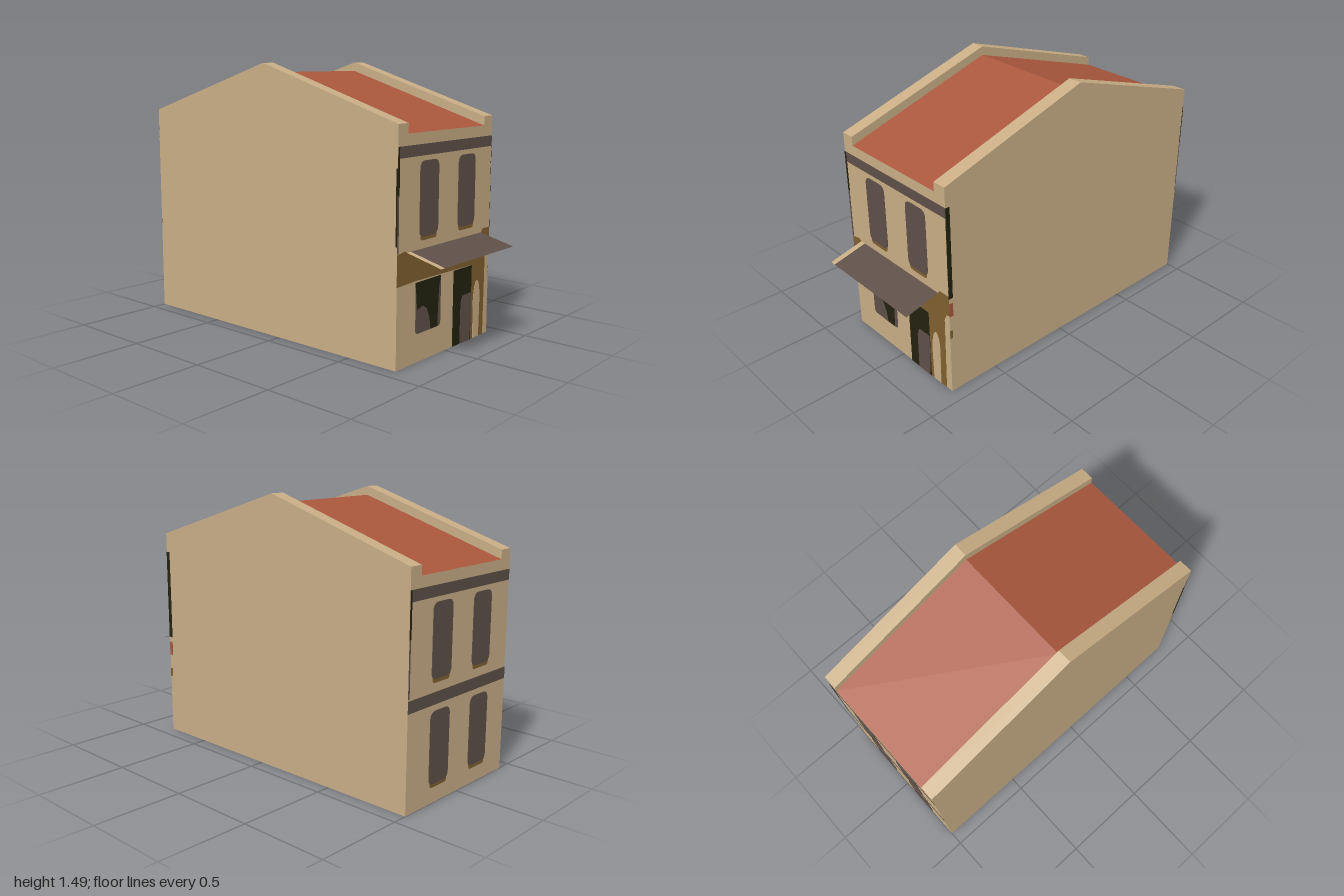
import * as THREE from 'three';

const W = 0.42, IN = 0.34, FRONT = 0.8, BACK = -1, RIDGE = -0.1;
const EAVE = 1.21, PEAK = 1.49, DROP = 0.05;

export function createModel() {
  const mat = (name, color) =>
    Object.assign(new THREE.MeshStandardMaterial({ color, side: THREE.DoubleSide }), { name });
  const stone = mat('sandstone', 0xc8ad85);
  const tile = mat('roofTile', 0xaa573d);
  const slate = mat('greyBrown', 0x5f5048);
  const ochre = mat('ochre', 0x80602f);
  const dark = mat('darkOpening', 0x22210f);

  const house = new THREE.Group();
  house.name = 'house';

  const add = (parent, name, geometry, material) => {
    const mesh = new THREE.Mesh(geometry, material);
    mesh.name = name;
    parent.add(mesh);
    return mesh;
  };

  const outline = (pts) => new THREE.Shape(pts.map(([x, y]) => new THREE.Vector2(x, y)));
  const rect = (x0, y0, x1, y1) => outline([[x0, y0], [x1, y0], [x1, y1], [x0, y1]]);
  const rounded = (x0, y0, x1, y1, r) => {
    const s = new THREE.Shape();
    s.moveTo(x0 + r, y0);
    s.lineTo(x1 - r, y0); s.quadraticCurveTo(x1, y0, x1, y0 + r);
    s.lineTo(x1, y1 - r); s.quadraticCurveTo(x1, y1, x1 - r, y1);
    s.lineTo(x0 + r, y1); s.quadraticCurveTo(x0, y1, x0, y1 - r);
    s.lineTo(x0, y0 + r); s.quadraticCurveTo(x0, y0, x0 + r, y0);
    return s;
  };

  // Thin plate centred on its wall, so it shows inside and outside
  const plate = (parent, name, shape, material, layer = 1) => {
    const depth = 0.003 * layer;
    const g = new THREE.ExtrudeGeometry(shape, { depth, bevelEnabled: false, curveSegments: 6 });
    g.translate(0, 0, -depth / 2);
    return add(parent, name, g, material);
  };

  // Flat sheets swept across x from a list of [y, z] points
  const sheet = (parent, name, x0, x1, path, material) => {
    const pos = [], index = [];
    path.slice(1).forEach(([y1, z1], i) => {
      const [y0, z0] = path[i], n = i * 4;
      pos.push(x0, y0, z0, x1, y0, z0, x1, y1, z1, x0, y1, z1);
      index.push(n, n + 1, n + 2, n, n + 2, n + 3);
    });
    const g = new THREE.BufferGeometry();
    g.setAttribute('position', new THREE.Float32BufferAttribute(pos, 3));
    g.setIndex(index);
    g.computeVertexNormals();
    return add(parent, name, g, material);
  };

  // Roof, set slightly below the parapets
  const slope = (drop) => [[EAVE - drop, FRONT], [PEAK - drop, RIDGE], [EAVE - drop, BACK]];
  sheet(house, 'roof', -IN, IN, slope(DROP), tile);

  // Gable walls with sloping copings and inner parapet faces (shape x = -z)
  const gable = [[-FRONT, 0], [-BACK, 0], [-BACK, EAVE], [-RIDGE, PEAK], [-FRONT, EAVE]];
  const upstand = [
    [-FRONT, EAVE - DROP], [-RIDGE, PEAK - DROP], [-BACK, EAVE - DROP],
    [-BACK, EAVE], [-RIDGE, PEAK], [-FRONT, EAVE],
  ];
  for (const s of [-1, 1]) {
    const side = s > 0 ? 'left' : 'right';
    const wall = add(house, side + 'GableWall', new THREE.ShapeGeometry(outline(gable)), stone);
    wall.rotation.y = Math.PI / 2;
    wall.position.x = s * W;
    const inner = add(house, side + 'ParapetInside', new THREE.ShapeGeometry(outline(upstand)), stone);
    inner.rotation.y = Math.PI / 2;
    inner.position.x = s * IN;
    sheet(house, side + 'Coping', s > 0 ? IN : -W, s > 0 ? W : -IN, slope(0), stone);
  }

  // Facade with cornice, upper windows and corner strip, used at both ends
  const wallShape = [
    [-W, 0], [W, 0], [W, EAVE], [IN, EAVE], [IN, EAVE - DROP],
    [-IN, EAVE - DROP], [-IN, EAVE], [-W, EAVE],
  ];
  const windowPair = (parent, dy) => {
    for (const x of [-0.24, 0.1]) {
      plate(parent, 'windowSill', rounded(x + 0.01, 0.622 + dy, x + 0.15, 0.68 + dy, 0.02), ochre);
      plate(parent, 'window', rounded(x, 0.64 + dy, x + 0.16, 1.02 + dy, 0.04), slate, 2);
    }
  };
  const facade = (name) => {
    const f = new THREE.Group();
    f.name = name;
    house.add(f);
    add(f, name + 'Wall', new THREE.ShapeGeometry(outline(wallShape)), stone);
    plate(f, 'cornice', rect(-W, 1.045, W, 1.102), slate);
    plate(f, 'cornerStripUpper', rect(-W, 0.87, -0.409, 1.102), dark, 2);
    plate(f, 'cornerStripLower', rect(-W, 0.585, -0.412, 0.87), slate, 2);
    windowPair(f, 0);
    return f;
  };

  // Back: a second row of windows and a floor band
  const back = facade('backFacade');
  back.position.z = BACK;
  back.rotation.y = Math.PI;
  windowPair(back, -0.54);
  plate(back, 'floorBand', rect(-W, 0.512, W, 0.575), slate);

  // Front: shop fascia running down beside the door
  const front = facade('frontFacade');
  front.position.z = FRONT;
  const fascia = outline([
    [-W, 0.42], [-0.27, 0.425], [0.24, 0.415], [0.25, 0.25], [0.24, 0],
    [0.375, 0], [0.38, 0.44], [0.395, 0.475], [W, 0.485], [W, 0.6],
    [0.35, 0.6], [0.33, 0.575], [-0.33, 0.575], [-0.36, 0.59], [-W, 0.58],
  ]);
  plate(front, 'shopFascia', fascia, ochre);
  const niche = new THREE.Shape();
  niche.moveTo(0.272, 0);
  niche.lineTo(0.33, 0);
  niche.lineTo(0.335, 0.22);
  niche.quadraticCurveTo(0.33, 0.32, 0.302, 0.32);
  niche.quadraticCurveTo(0.275, 0.31, 0.268, 0.2);
  plate(front, 'paleNiche', niche, stone, 2);

  // Shop window with a shaded upper part
  plate(front, 'shopWindow', rounded(-0.262, 0.148, -0.042, 0.415, 0.025), slate);
  plate(front, 'shopWindowShade', outline([
    [-0.265, 0.415], [-0.25, 0.275], [-0.2, 0.288], [-0.165, 0.265], [-0.14, 0.21],
    [-0.13, 0.15], [-0.07, 0.15], [-0.068, 0.25], [-0.06, 0.36], [-0.045, 0.415],
  ]), dark, 2);

  // Door
  plate(front, 'doorway', rect(0.075, 0, 0.248, 0.413), dark, 2);
  plate(front, 'doorPanel', outline([
    [0.142, 0], [0.238, 0], [0.248, 0.13], [0.248, 0.265], [0.16, 0.262], [0.144, 0.22],
  ]), slate, 3);

  // Awning: one sloping sheet with a pale end
  const fall = [[0.58, FRONT], [0.53, 1]];
  sheet(house, 'awning', -0.307, 0.335, fall, slate);
  sheet(house, 'awningPaleEnd', -0.34, -0.307, fall, stone);

  // Painted marks that wrap round the front corners
  const mark = (name, x, y0, y1, depth, material) => {
    const m = add(house, name, new THREE.BoxGeometry(0.004, y1 - y0, depth), material);
    m.position.set(x, (y0 + y1) / 2, FRONT - depth / 2);
  };
  mark('leftCornerStrip', W, 0.585, 1.1, 0.025, dark);
  mark('leftCornerRedMark', W, 0.475, 0.555, 0.024, tile);
  mark('leftCornerOchreMark', W, 0.34, 0.39, 0.016, ochre);
  mark('rightCornerStrip', -W, 0.62, 1.0, 0.008, dark);

  return house;
}
